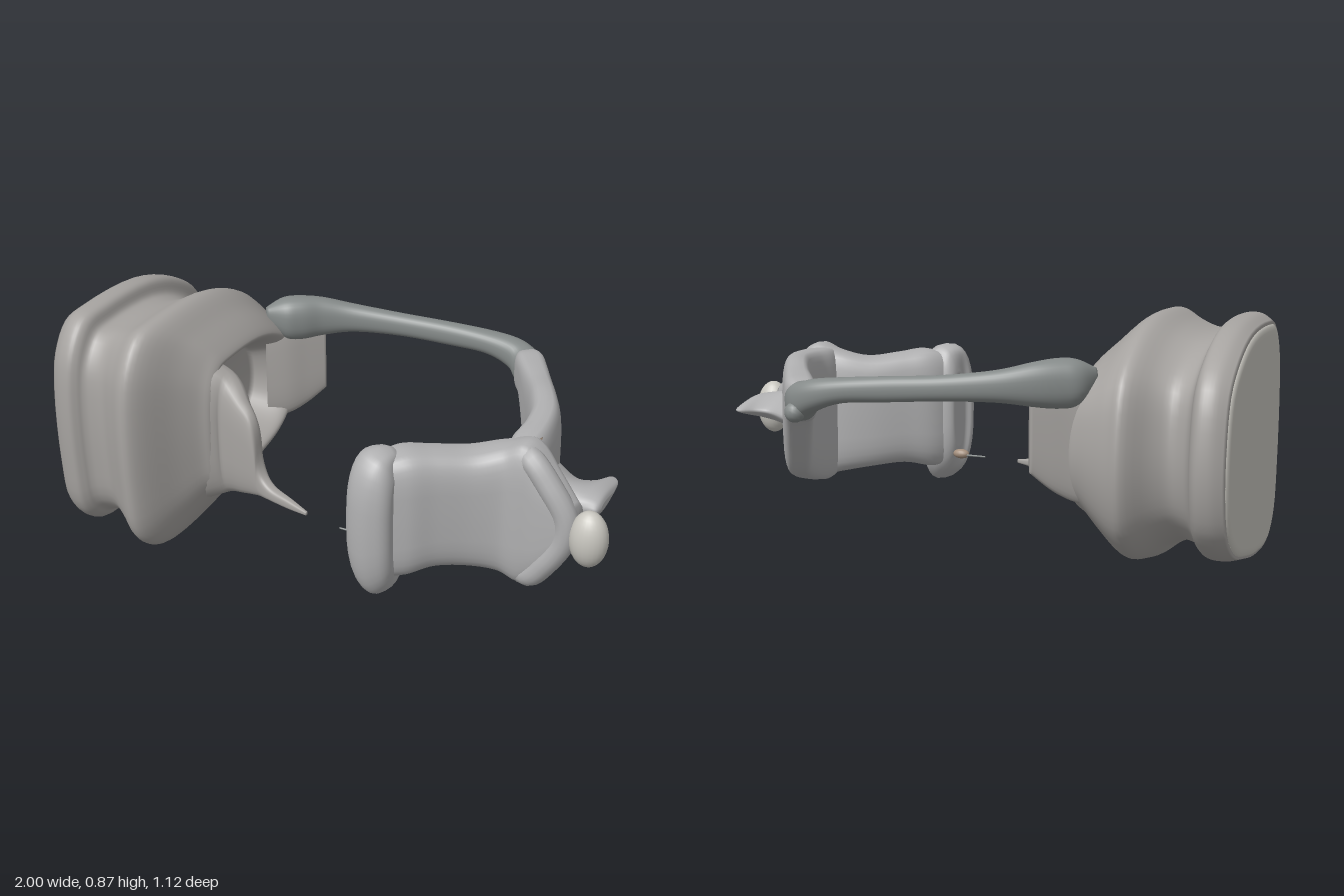
import * as THREE from 'three';

const paint = color => new THREE.MeshStandardMaterial({ color, side: THREE.DoubleSide });
const cupGrey = paint(0xa6a3a0), padGrey = paint(0xb0b0b1), dark = paint(0x858a89);
const pale = paint(0xc8c6bf), brown = paint(0xa38e7c);

// Closed skin over a list of equal-length rings, with end caps, facing outward
function loft(rings) {
  const n = rings[0].length, pos = [], idx = [];
  rings.forEach(r => r.forEach(p => pos.push(p.x, p.y, p.z)));
  for (let i = 0; i < rings.length - 1; i++)
    for (let j = 0; j < n; j++) {
      const a = i * n + j, b = i * n + (j + 1) % n;
      idx.push(a, b, a + n, b, b + n, a + n);
    }
  [0, rings.length - 1].forEach((r, end) => {
    const c = new THREE.Vector3();
    rings[r].forEach(p => c.addScaledVector(p, 1 / n));
    const k = pos.length / 3;
    pos.push(c.x, c.y, c.z);
    for (let j = 0; j < n; j++) {
      const a = r * n + j, b = r * n + (j + 1) % n;
      end ? idx.push(k, a, b) : idx.push(k, b, a);
    }
  });
  const v = i => new THREE.Vector3().fromArray(pos, idx[i] * 3);
  let volume = 0;
  for (let i = 0; i < idx.length; i += 3) volume += v(i).dot(v(i + 1).cross(v(i + 2)));
  if (volume < 0) idx.reverse();
  const g = new THREE.BufferGeometry();
  g.setAttribute('position', new THREE.Float32BufferAttribute(pos, 3));
  g.setIndex(idx);
  g.computeVertexNormals();
  return g;
}

// Smooth in-between rows of a small table of stations
function smooth(rows, steps) {
  const out = [], last = rows.length - 1;
  for (let i = 0; i < last; i++)
    for (let s = 0; s < steps; s++) {
      const t = s / steps;
      const [a, b, c, d] = [Math.max(i - 1, 0), i, i + 1, Math.min(i + 2, last)].map(k => rows[k]);
      out.push(b.map((_, k) => b[k] + 0.5 * t * (c[k] - a[k]
        + t * (2 * a[k] - 5 * b[k] + 4 * c[k] - d[k] + t * (3 * (b[k] - c[k]) + d[k] - a[k])))));
    }
  out.push(rows[last]);
  return out;
}

// Upright padded band; stations are [x, z, bottom, top, thickness]
function band(rows, power = 0.55) {
  const st = smooth(rows, 6);
  const pw = v => Math.sign(v) * Math.abs(v) ** power;
  return loft(st.map(([x, z, lo, hi, t], i) => {
    const a = st[Math.max(i - 1, 0)], b = st[Math.min(i + 1, st.length - 1)];
    const nrm = new THREE.Vector2(-(b[1] - a[1]), b[0] - a[0]).normalize();
    return Array.from({ length: 32 }, (_, j) => {
      const ang = j / 32 * Math.PI * 2, u = pw(Math.cos(ang)) * t / 2;
      return new THREE.Vector3(x + nrm.x * u, (lo + hi) / 2 + pw(Math.sin(ang)) * (hi - lo) / 2, z + nrm.y * u);
    });
  }));
}

// D-shaped outline swept along x; stations are [x, back, front, bottom, top]
const outline = new THREE.CatmullRomCurve3([
  [0.53, 0.6], [0.5, 0.74], [0.42, 0.84], [0.3, 0.86], [0, 0.85], [-0.2, 0.785], [-0.34, 0.68],
  [-0.39, 0.5], [-0.385, 0.32], [-0.33, 0.18], [-0.2, 0.085], [0, 0.03], [0.2, 0], [0.4, 0.01],
  [0.5, 0.1], [0.53, 0.28],
].map(([z, y]) => new THREE.Vector3(0, y / 0.86, (z + 0.39) / 0.92)), true).getPoints(64).slice(0, 64);
const cupShape = (rows, steps) => loft(smooth(rows, steps).map(([x, z0, z1, y0, y1]) =>
  outline.map(p => new THREE.Vector3(x, y0 + p.y * (y1 - y0), z0 + p.z * (z1 - z0)))));

// Teardrop sections pointing backward; stations are [x, back, front, half height, centre y]
const teardrop = rows => loft(smooth(rows, 5).map(([x, z0, z1, h, y]) =>
  Array.from({ length: 28 }, (_, j) => {
    const a = j / 28 * Math.PI * 2, c = Math.cos(a);
    return new THREE.Vector3(x, y + Math.sin(a) * h * (0.65 + 0.35 * c), (z0 + z1) / 2 + c * (z1 - z0) / 2);
  })));

function tube(points, radius) {
  const path = new THREE.CatmullRomCurve3(points.map(p => new THREE.Vector3(...p)));
  return new THREE.TubeGeometry(path, 40, radius, 14);
}

export function createModel() {
  const model = new THREE.Group();
  const add = (name, geometry, material = padGrey) => {
    const m = new THREE.Mesh(geometry, material);
    m.name = name;
    model.add(m);
    return m;
  };

  // Large cup: outer shell with stepped groove, swollen cushion and hollow opening
  add('largeCup', cupShape([
    [-0.99, -0.35, 0.455, 0.04, 0.83], [-0.95, -0.375, 0.48, 0.028, 0.855],
    [-0.905, -0.38, 0.49, 0.03, 0.858], [-0.88, -0.36, 0.475, 0.045, 0.845], [-0.865, -0.325, 0.46, 0.065, 0.81],
    [-0.84, -0.295, 0.45, 0.075, 0.8], [-0.79, -0.275, 0.45, 0.078, 0.805], [-0.73, -0.31, 0.485, 0.055, 0.825],
    [-0.66, -0.385, 0.525, 0.004, 0.86], [-0.61, -0.375, 0.49, 0.012, 0.85], [-0.55, -0.355, 0.375, 0.09, 0.79],
    [-0.5, -0.335, 0.3, 0.16, 0.74], [-0.468, -0.32, 0.27, 0.19, 0.7], [-0.468, -0.3, 0.25, 0.215, 0.68],
    [-0.51, -0.27, 0.2, 0.24, 0.65], [-0.61, -0.23, 0.16, 0.28, 0.61],
  ], 4), cupGrey);
  add('cupCap', cupShape([[-1, -0.31, 0.42, 0.08, 0.79], [-0.997, -0.335, 0.44, 0.055, 0.815],
    [-0.985, -0.345, 0.45, 0.045, 0.825]], 2), pale);

  // Front wall of the cup, drawn out to a pointed tip
  add('cupFlap', band([
    [-0.53, 0.2, 0.15, 0.7, 0.2], [-0.44, 0.185, 0.185, 0.66, 0.14], [-0.36, 0.22, 0.215, 0.59, 0.09],
    [-0.3, 0.245, 0.235, 0.52, 0.06], [-0.275, 0.25, 0.24, 0.36, 0.05], [-0.23, 0.265, 0.245, 0.3, 0.045],
    [-0.14, 0.29, 0.245, 0.28, 0.03], [-0.06, 0.315, 0.252, 0.266, 0.012],
  ], 0.7), cupGrey);

  // Rear wall of the cup, hanging below the root of the arm
  add('rearFlap', band([
    [-0.54, -0.25, 0.26, 0.68, 0.08], [-0.47, -0.285, 0.28, 0.7, 0.07],
    [-0.41, -0.325, 0.32, 0.7, 0.05], [-0.35, -0.365, 0.38, 0.66, 0.03],
  ], 0.7), cupGrey);

  // Thin arm bowed behind, with a flared root on the cup
  add('rearArm', band([
    [-0.53, -0.24, 0.66, 0.72, 0.04], [-0.48, -0.28, 0.6, 0.75, 0.12], [-0.43, -0.315, 0.59, 0.755, 0.125],
    [-0.36, -0.365, 0.6, 0.745, 0.1], [-0.25, -0.415, 0.615, 0.72, 0.08], [-0.08, -0.46, 0.615, 0.7, 0.07],
    [0.1, -0.49, 0.605, 0.69, 0.072], [0.25, -0.508, 0.595, 0.68, 0.085], [0.35, -0.508, 0.56, 0.67, 0.1],
    [0.41, -0.485, 0.52, 0.655, 0.11], [0.46, -0.43, 0.52, 0.65, 0.09],
  ], 0.85), dark);
  const nub = add('armNub', new THREE.SphereGeometry(0.035, 14, 10), dark);
  nub.position.set(0.42, 0.555, -0.525);

  // Side panel widening from the arm to the small pad
  add('sidePanel', band([
    [0.39, -0.5, 0.54, 0.64, 0.06], [0.43, -0.46, 0.51, 0.66, 0.105], [0.48, -0.38, 0.5, 0.665, 0.105],
    [0.54, -0.28, 0.38, 0.67, 0.105], [0.595, -0.18, 0.27, 0.68, 0.11], [0.645, -0.07, 0.22, 0.68, 0.12],
    [0.665, 0.04, 0.185, 0.675, 0.13], [0.665, 0.13, 0.17, 0.67, 0.14], [0.66, 0.21, 0.18, 0.66, 0.1],
  ]));

  // Front pad with a bulged outer end and a rolled inner end
  add('frontPad', band([
    [0.27, 0.46, 0.2, 0.62, 0.13], [0.34, 0.39, 0.2, 0.65, 0.19], [0.42, 0.325, 0.22, 0.64, 0.185],
    [0.52, 0.255, 0.21, 0.63, 0.18], [0.62, 0.21, 0.19, 0.655, 0.17], [0.71, 0.205, 0.165, 0.68, 0.16],
    [0.79, 0.22, 0.23, 0.6, 0.13], [0.88, 0.24, 0.37, 0.5, 0.09],
  ]));
  add('frontRoll', band([
    [0.215, 0.405, 0.28, 0.56, 0.07], [0.235, 0.41, 0.2, 0.64, 0.15], [0.27, 0.435, 0.155, 0.665, 0.22],
    [0.305, 0.455, 0.135, 0.66, 0.22], [0.335, 0.465, 0.17, 0.64, 0.17], [0.355, 0.465, 0.24, 0.58, 0.08],
  ], 0.75));

  // Rounded rim and coloured seam around the outer end of the pad
  add('padRim', tube([[0.66, 0.62, 0.19], [0.72, 0.63, 0.235], [0.79, 0.56, 0.25], [0.85, 0.46, 0.25],
    [0.85, 0.38, 0.25], [0.79, 0.27, 0.25], [0.73, 0.205, 0.235], [0.66, 0.21, 0.19]], 0.042));
  add('padSeam', tube([[0.69, 0.65, 0.125], [0.73, 0.54, 0.125], [0.74, 0.43, 0.125],
    [0.73, 0.31, 0.125], [0.69, 0.19, 0.125]], 0.022), brown);
  const knob = add('endKnob', new THREE.SphereGeometry(1, 24, 16), pale);
  knob.scale.set(0.065, 0.1, 0.056);
  knob.position.set(0.935, 0.408, 0.255);

  // Boss on the side, narrowing and then flaring to a ridge that points backward
  add('sideBoss', teardrop([
    [0.64, -0.15, 0.21, 0.17, 0.44], [0.7, -0.1, 0.19, 0.13, 0.44], [0.79, -0.03, 0.17, 0.09, 0.44],
    [0.85, -0.04, 0.165, 0.07, 0.445], [0.89, -0.085, 0.16, 0.055, 0.45], [0.92, -0.06, 0.155, 0.04, 0.45],
    [0.93, 0.01, 0.13, 0.015, 0.45],
  ]));

  // Small bead with a needle in front of the pad
  const bead = add('bead', new THREE.SphereGeometry(1, 16, 10), brown);
  bead.scale.set(0.032, 0.018, 0.02);
  bead.position.set(0.185, 0.26, 0.35);
  const needle = add('needle', new THREE.CylinderGeometry(0.003, 0.004, 0.08, 8), dark);
  needle.rotation.z = Math.PI / 2;
  needle.position.set(0.125, 0.257, 0.343);

  return model;
}
